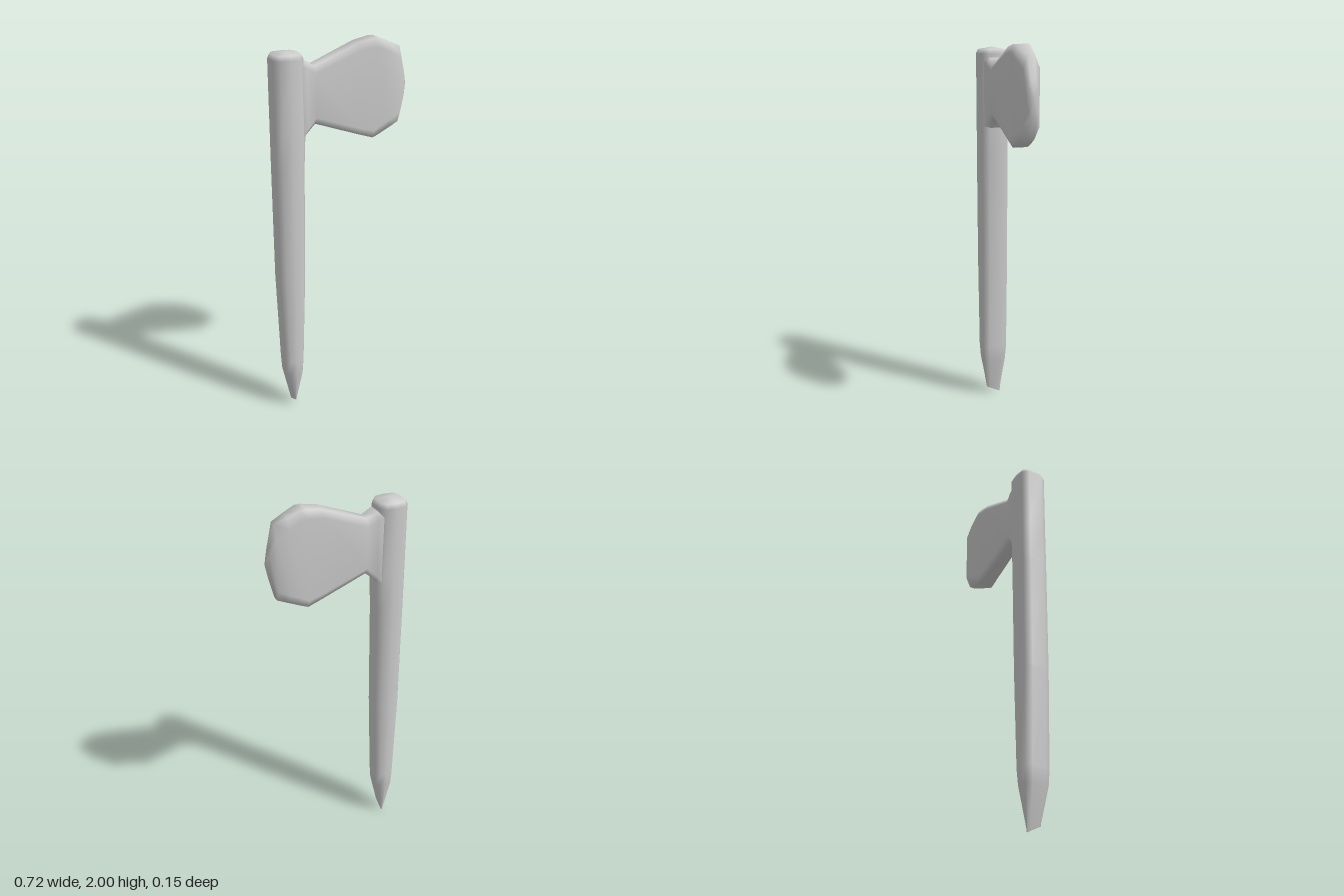
import * as THREE from 'three';

const material = new THREE.MeshStandardMaterial({ color: 0xcccccc });

// Smooth closed skin over a list of equal-length rings of [x, y, z] points
function loft(name, rings, startPoint, endPoint) {
  const n = rings[0].length;
  const points = [...rings.flat(), startPoint, endPoint];
  const start = points.length - 2, end = points.length - 1;
  const last = (rings.length - 1) * n;
  const index = [];
  for (let j = 0; j < n; j++) {
    const k = (j + 1) % n;
    for (let i = 0; i < last; i += n) {
      index.push(i + j, i + n + j, i + k, i + k, i + n + j, i + n + k);
    }
    index.push(start, j, k, end, last + k, last + j);
  }
  const geometry = new THREE.BufferGeometry();
  geometry.setAttribute('position', new THREE.Float32BufferAttribute(points.flat(), 3));
  geometry.setIndex(index);
  geometry.computeVertexNormals();
  const mesh = new THREE.Mesh(geometry, material);
  mesh.name = name;
  return mesh;
}

// Ten-sided post: levels of height, left x, right x, half depth
function createPost() {
  const quarter = [[1, 0.5], [0.7, 0.92], [0, 1], [-0.7, 0.92], [-1, 0.5]];
  const section = [...quarter, ...quarter.map(([x, z]) => [x, -z]).reverse()];
  const levels = [
    [0.22, -0.34, -0.245, 0.068],
    [0.3, -0.344, -0.24, 0.074],
    [0.8, -0.36, -0.222, 0.076],
    [1.4, -0.362, -0.214, 0.077],
    [1.6, -0.362, -0.205, 0.077],
    [1.94, -0.362, -0.21, 0.077],
    [1.962, -0.352, -0.222, 0.068],
  ];
  const rings = levels.map(([y, x0, x1, depth]) =>
    section.map(([x, z]) => [(x0 + x1) / 2 + x * (x1 - x0) / 2, y, z * depth]));
  // Slanted chisel edge at the foot
  rings.unshift(section.map(([x, z]) => [-0.29 + x * 0.003, 0.019 + z * 0.018, z * 0.038]));
  return loft('post', rings, [-0.29, 0.019, 0], [-0.287, 1.975, 0]);
}

// Flared blade: stations of x, top, bottom, half thickness, rim half width, bevel
function createBlade() {
  const stations = [
    [-0.28, 1.94, 1.46, 0.07, 0.045, 0.02],
    [-0.2, 1.92, 1.565, 0.06, 0.035, 0.03],
    [-0.15, 1.897, 1.61, 0.051, 0.028, 0.035],
    [0.08, 1.985, 1.527, 0.053, 0.035, 0.035],
    [0.16, 2, 1.5, 0.055, 0.038, 0.04],
    [0.19, 2, 1.512, 0.055, 0.038, 0.045],
    [0.25, 1.975, 1.536, 0.052, 0.03, 0.05],
    [0.312, 1.948, 1.56, 0.043, 0.018, 0.055],
    [0.34, 1.835, 1.665, 0.025, 0.012, 0.03],
  ];
  const rings = stations.map(([x, top, bottom, t, w, b]) => [
    [x, top, w], [x, top, -w], [x, top - b, -t], [x, bottom + b, -t],
    [x, bottom, -w], [x, bottom, w], [x, bottom + b, t], [x, top - b, t],
  ]);
  return loft('blade', rings, [-0.28, 1.7, 0], [0.36, 1.75, 0]);
}

export function createModel() {
  const model = new THREE.Group();
  model.name = 'bladedPost';
  model.add(createPost(), createBlade());
  return model;
}
